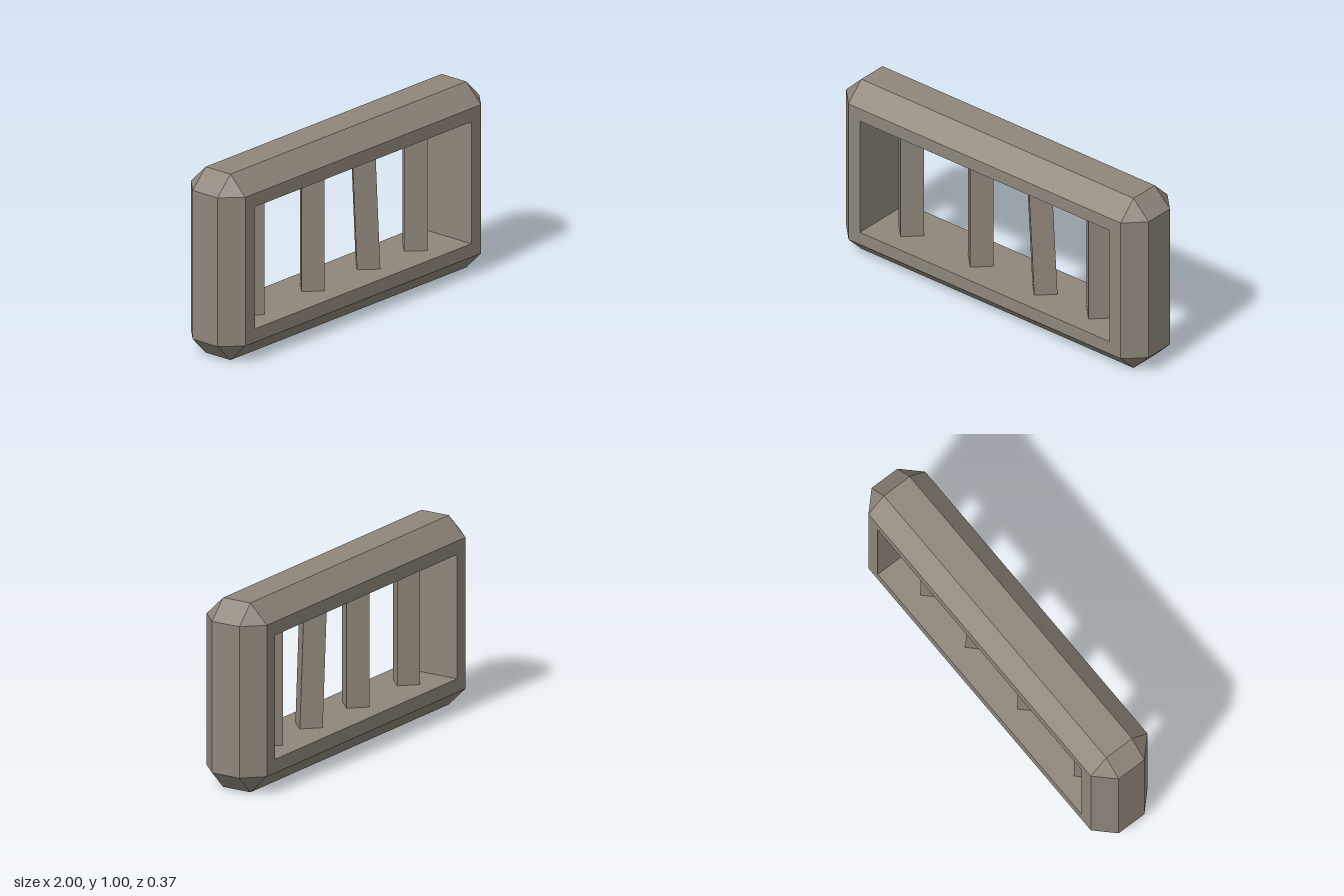
import * as THREE from 'three';

const stone = new THREE.MeshStandardMaterial({ color: 0x8f867b });
stone.name = 'stone';

// Eight-point ring, two points per corner; cut = 0 makes a plain rectangle
function ring(halfW, halfH, z, cut = 0) {
  const points = [];
  for (const [sx, sy] of [[1, 1], [-1, 1], [-1, -1], [1, -1]]) {
    const side = new THREE.Vector3(sx * halfW, sy * (halfH - cut), z);
    const end = new THREE.Vector3(sx * (halfW - cut), sy * halfH, z);
    points.push(...(sx * sy > 0 ? [side, end] : [end, side]));
  }
  return points;
}

// Closed loop of rings, skipping the empty triangles at plain corners
function loopGeometry(rings) {
  const positions = [];
  const triangle = new THREE.Triangle();
  const add = (a, b, c) => {
    if (triangle.set(a, b, c).getArea() > 1e-7) {
      for (const p of [a, b, c]) positions.push(p.x, p.y, p.z);
    }
  };
  rings.forEach((a, k) => {
    const b = rings[(k + 1) % rings.length];
    for (let i = 0; i < 8; i++) {
      const j = (i + 1) % 8;
      add(a[i], b[i], a[j]);
      add(a[j], b[i], b[j]);
    }
  });
  const geometry = new THREE.BufferGeometry();
  geometry.setAttribute('position', new THREE.Float32BufferAttribute(positions, 3));
  geometry.computeVertexNormals();
  return geometry;
}

export function createModel() {
  const group = new THREE.Group();
  group.name = 'barredWindow';

  // Chamfered frame: outside from front to back, then the opening
  const W = 1, H = 0.5, D = 0.183, C = 0.1;
  const innerW = 0.825, innerH = 0.328;
  const frame = new THREE.Mesh(loopGeometry([
    ring(W - C, H - C, D),
    ring(W, H, D - C, C),
    ring(W, H, C - D, C),
    ring(W - C, H - C, -D),
    ring(innerW, innerH, -D),
    ring(innerW, innerH, D),
  ]), stone);
  frame.name = 'frame';
  frame.position.y = H;
  group.add(frame);

  // Square bars set corner-on, one of them knocked askew
  const barGeometry = new THREE.CylinderGeometry(0.083, 0.083, 0.7, 4).toNonIndexed();
  barGeometry.computeVertexNormals();
  [[-0.64, 0], [-0.18, 0], [0.225, 0.058], [0.603, 0]].forEach(([x, tilt], i) => {
    const bar = new THREE.Mesh(barGeometry, stone);
    bar.name = `bar${i + 1}`;
    bar.position.set(x, H, 0);
    bar.rotation.z = tilt;
    group.add(bar);
  });

  return group;
}
